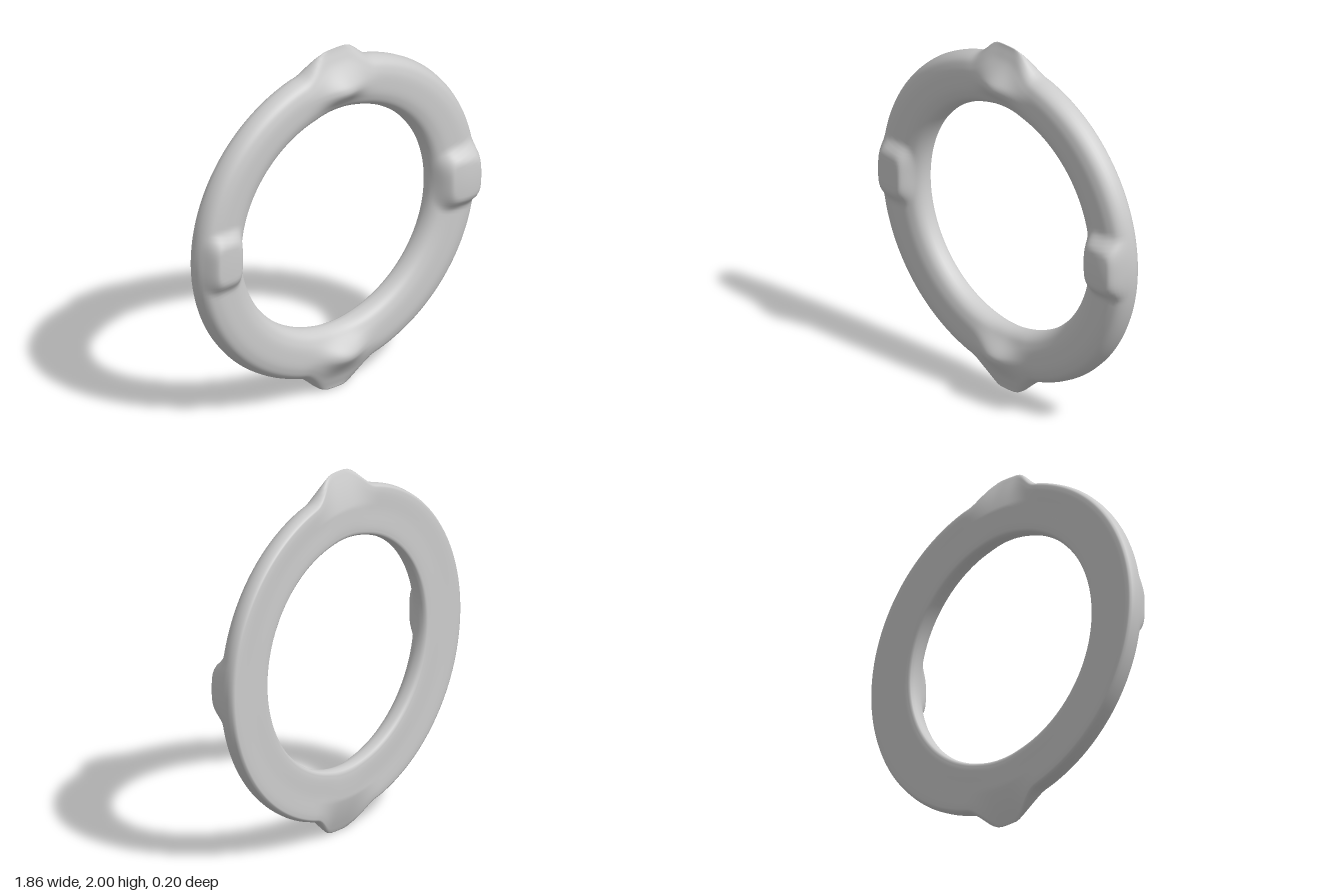
import * as THREE from 'three';

const { smoothstep, lerp } = THREE.MathUtils;

// Ring cross-section: x = 0 (inner edge) to 1 (outer edge), y = depth. Flat back, domed front.
const section = new THREE.CatmullRomCurve3([
  [0.03, -0.093], [0.1, -0.1], [0.5, -0.1], [0.9, -0.1], [0.97, -0.093], [1, -0.065], [0.98, -0.03],
  [0.91, 0.005], [0.75, 0.027], [0.5, 0.033], [0.25, 0.026], [0.09, 0.003], [0.02, -0.03], [0, -0.065],
].map(([u, z]) => new THREE.Vector3(u, z, 0)), true, 'centripetal');

// Raised pads on the two sides of the front face
const pads = [
  { x: 0.79, y: 0.01, a: 0.145, b: 0.175, top: 0.098, round: 0.03 },
  { x: -0.785, y: 0.015, a: 0.12, b: 0.17, top: 0.08, round: 0.012 },
];

// Moves one point of the plain ring into the pointed tips, knobs and pads
function sculpt(x, y, z, r) {
  const front = smoothstep(z, -0.06, 0.01);
  const tip = 1 - smoothstep(Math.abs(x), 0.04, 0.27);

  // knob on the front, below each tip
  const rise = r < 0.78 ? smoothstep(r, 0.67, 0.78) : 1 - smoothstep(r, 0.77, 0.94);
  z += 0.054 * front * rise * Math.exp(-((x / 0.13) ** 2));

  // tips thin out to an edge
  const pinch = tip * THREE.MathUtils.clamp((r - 0.8) / 0.2, 0, 1) ** 1.2;
  z = lerp(z, -0.03, pinch * 0.95);

  for (const p of pads) {
    const dx = (x - p.x) / p.a, dy = (y - p.y) / p.b;
    const d = (dx ** 4 + dy ** 4) ** 0.25;
    const f = front * (1 - smoothstep(d, 0.6, 1.1));
    z = lerp(z, Math.max(z, p.top - p.round * (dx * dx + 0.5 * dy * dy)), f);
  }
  return z;
}

function ringGeometry(around = 240, across = 72) {
  const profile = section.getSpacedPoints(across).slice(0, across);
  const positions = [], index = [];
  for (let i = 0; i < around; i++) {
    const t = (i / around) * Math.PI * 2;
    const c = Math.cos(t), s = Math.sin(t);
    const tip = 1 - smoothstep(Math.abs(c), 0.05, 0.26);
    const inner = 0.632;
    const outer = 0.91 + 0.02 * c * c + 0.09 * tip;
    for (let j = 0; j < across; j++) {
      const r = lerp(inner, outer, profile[j].x);
      const x = r * c, y = r * s;
      positions.push(x, y + 1, sculpt(x, y, profile[j].y, r));

      const i2 = (i + 1) % around, j2 = (j + 1) % across;
      const a = i * across + j, b = i2 * across + j;
      const d = i * across + j2, e = i2 * across + j2;
      index.push(a, b, d, b, e, d);
    }
  }
  const g = new THREE.BufferGeometry();
  g.setAttribute('position', new THREE.Float32BufferAttribute(positions, 3));
  g.setIndex(index);
  g.computeVertexNormals();
  return g;
}

export function createModel() {
  const group = new THREE.Group();
  group.name = 'ornamentalRing';
  const ring = new THREE.Mesh(ringGeometry(), new THREE.MeshStandardMaterial({ color: 0xcccccc }));
  ring.name = 'ringWithTipsAndPads';
  group.add(ring);
  return group;
}
